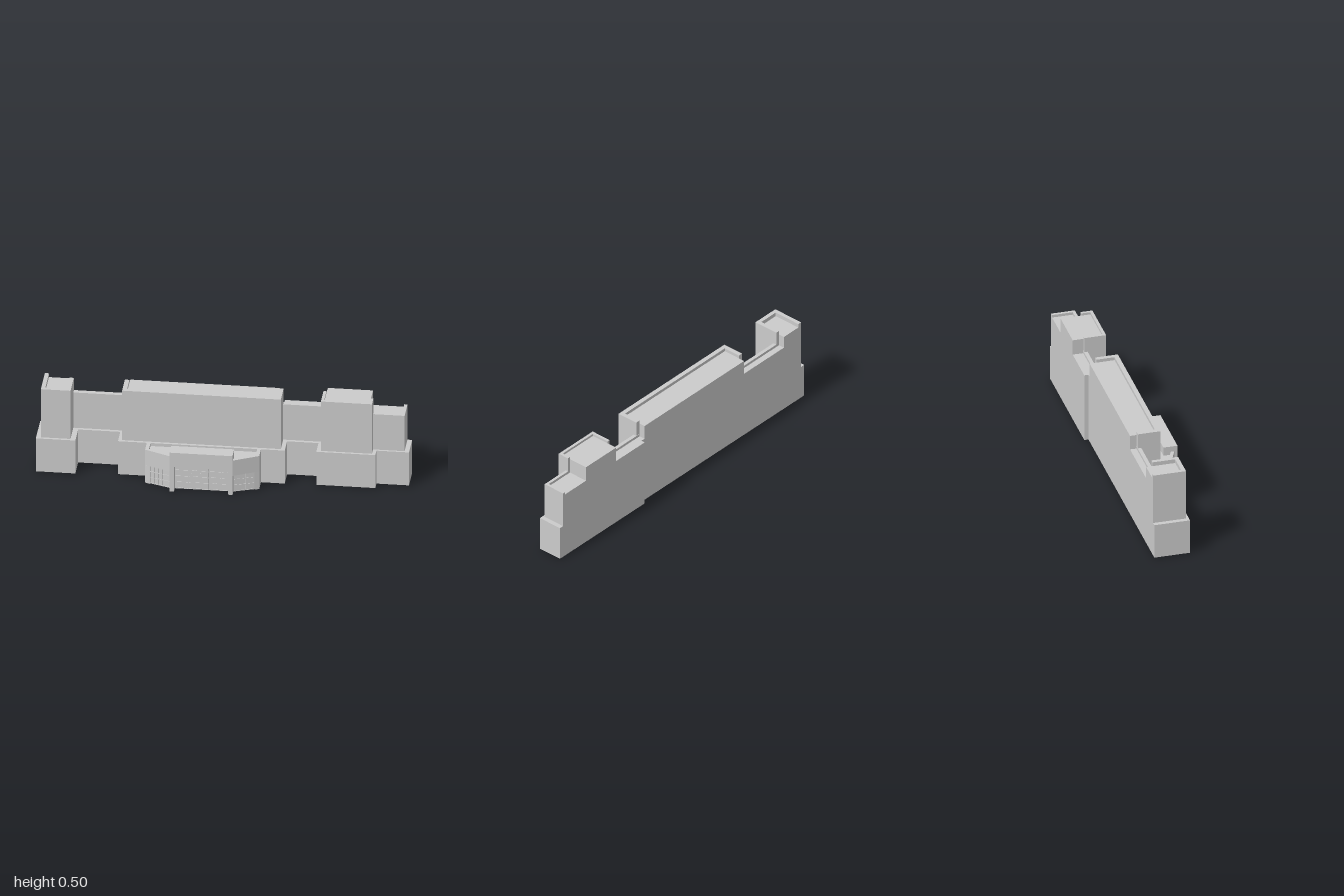
import * as THREE from 'three';

export function createModel() {
  const model = new THREE.Group();
  const mat = new THREE.MeshStandardMaterial({ color: 0xcccccc, side: THREE.DoubleSide });

  const add = (name, geo, parent = model) => {
    const mesh = new THREE.Mesh(geo, mat);
    mesh.name = name;
    parent.add(mesh);
    return mesh;
  };
  // Box given by its limits
  const box = (name, x0, x1, y0, y1, z0, z1, parent) => {
    const g = new THREE.BoxGeometry(x1 - x0, y1 - y0, z1 - z0);
    g.translate((x0 + x1) / 2, (y0 + y1) / 2, (z0 + z1) / 2);
    return add(name, g, parent);
  };
  // Floor plan of [x, z] points raised from y0 to y1
  const plan = (name, pts, y0, y1, parent) => {
    const shape = new THREE.Shape(pts.map(([x, z]) => new THREE.Vector2(x, -z)));
    const g = new THREE.ExtrudeGeometry(shape, { depth: y1 - y0, bevelEnabled: false });
    g.rotateX(-Math.PI / 2);
    g.translate(0, y0, 0);
    return add(name, g, parent);
  };
  const BACK_L = -0.155, BACK_R = -0.178, SPLIT = 0.315;
  const BASE = 0.203, LINK = 0.417, LINK_ROOF = 0.402;

  // Ground storey with stepped front
  plan('groundStorey', [
    [-1, BACK_L], [-1, 0.043], [-0.787, 0.043], [-0.787, -0.083], [-0.56, -0.083], [-0.56, 0.023],
    [0.338, 0.023], [0.338, -0.083], [0.507, -0.083], [0.507, 0.016], [0.825, 0.016], [0.825, -0.035],
    [1, -0.035], [1, BACK_R], [SPLIT, BACK_R], [SPLIT, BACK_L],
  ], 0.003, BASE);

  // Upper storeys, set back from the ground storey, up to the low roofs
  plan('upperStorey', [
    [-0.975, BACK_L], [-0.975, 0.028], [-0.815, 0.028], [-0.815, -0.1], [-0.54, -0.1], [-0.54, 0.008],
    [0.315, 0.008], [0.315, -0.1], [0.53, -0.1], [0.53, 0.003], [0.805, 0.003], [0.805, -0.047],
    [0.975, -0.047], [0.975, BACK_R], [SPLIT, BACK_R], [SPLIT, BACK_L],
  ], BASE, LINK_ROOF);

  // Low roof parapets
  box('leftLinkParapet', -0.84, -0.515, LINK_ROOF, LINK, -0.12, -0.1);
  box('rightLinkParapet', 0.29, 0.55, LINK_ROOF, LINK, -0.12, -0.1);
  box('endBlockFrontParapet', 0.79, 0.975, LINK_ROOF, LINK, -0.063, -0.047);
  box('endBlockSideParapet', 0.958, 0.975, LINK_ROOF, LINK, BACK_R, -0.063);

  // Tall blocks: a recessed roof core wrapped by a parapet wall, open at the back
  const tallBlock = (name, b) => {
    const g = new THREE.Group();
    g.name = name;
    model.add(g);
    const { x0, x1, front, back, t, roof, top, endL, endR } = b;
    box('roofCore', x0 + t, x1 - t, LINK_ROOF, roof, back, front - t, g);
    plan('parapetWall', [
      [x0, endL], [x0, front], [x1, front], [x1, endR],
      [x1 - t, endR], [x1 - t, front - t], [x0 + t, front - t], [x0 + t, endL],
    ], LINK_ROOF, top, g);
  };
  tallBlock('endTower', { x0: -0.975, x1: -0.815, front: 0.028, back: BACK_L, t: 0.022,
    roof: 0.472, top: 0.495, endL: BACK_L, endR: -0.12 });
  tallBlock('mainBlock', { x0: -0.54, x1: 0.315, front: 0.008, back: BACK_L, t: 0.025,
    roof: 0.485, top: 0.503, endL: -0.118, endR: -0.118 });
  tallBlock('sideBlock', { x0: 0.53, x1: 0.805, front: 0.003, back: BACK_R, t: 0.016,
    roof: 0.49, top: 0.503, endL: -0.118, endR: -0.063 });

  // Entrance wing with low parapet
  const wing = new THREE.Group();
  wing.name = 'entranceWing';
  model.add(wing);
  const ROOF = 0.185, HEAD = 0.11;
  box('wingBody', -0.405, 0.21, 0.003, ROOF, 0.023, 0.1, wing);
  box('wingLeftParapet', -0.405, -0.385, ROOF, BASE, 0.023, 0.1, wing);
  box('wingRightParapet', 0.19, 0.21, ROOF, BASE, 0.023, 0.1, wing);

  // Glazed screen between two plan points, with a grid of bars
  const glazing = (name, [x0, z0], [x1, z1], h, cols, rows) => {
    const g = new THREE.Group();
    g.name = name;
    const w = Math.hypot(x1 - x0, z1 - z0), bar = 0.004;
    box('glass', 0, w, 0, h, -0.002, 0, g);
    for (let i = 0; i <= cols; i++) {
      const x = (w - bar) * i / cols;
      box('mullion', x, x + bar, 0, h, -0.003, 0.003, g);
    }
    for (let j = 0; j <= rows; j++) {
      const y = (h - bar) * j / rows;
      box('transom', 0, w, y, y + bar, -0.003, 0.003, g);
    }
    g.position.set(x0, 0.002, z0);
    g.rotation.y = Math.atan2(z0 - z1, x1 - x0);
    wing.add(g);
  };

  // Angled wings beside the porch: overhanging wall, sloping parapet and glazing
  const angled = (name, xo, xp, zp) => {
    const s = Math.sign(xp - xo), xi = xo + s * 0.025;
    plan(name + 'Wall', [[xo, 0.1], [xp, zp], [xp, 0.1]], HEAD, ROOF, wing);
    plan(name + 'Parapet', [[xo, 0.1], [xp, zp], [xp, zp - 0.02], [xi, 0.09], [xo, 0.09]], ROOF, BASE, wing);
    plan(name + 'Post', [[xo, 0.1], [xi, 0.112], [xi, 0.1]], 0.003, HEAD, wing);
    const ends = [[xi, 0.1], [xp, 0.14]];
    if (s < 0) ends.reverse();
    glazing(name + 'Glazing', ends[0], ends[1], HEAD - 0.002, 5, 3);
  };
  angled('leftAngle', 0.21, 0.075, 0.168);
  angled('rightAngle', -0.405, -0.265, 0.16);

  // Porch on two piers
  box('porchLintel', -0.265, 0.075, 0.15, 0.235, 0.1, 0.178, wing);
  for (const x of [-0.265, 0.05]) box('porchPier', x, x + 0.025, 0, 0.15, 0.1, 0.178, wing);
  glazing('porchGlazing', [-0.24, 0.14], [0.05, 0.14], 0.148, 8, 4);
  // Door pulls
  for (const x of [-0.153, -0.103]) box('doorPull', x, x + 0.004, 0.03, 0.1, 0.143, 0.15, wing);

  return model;
}
